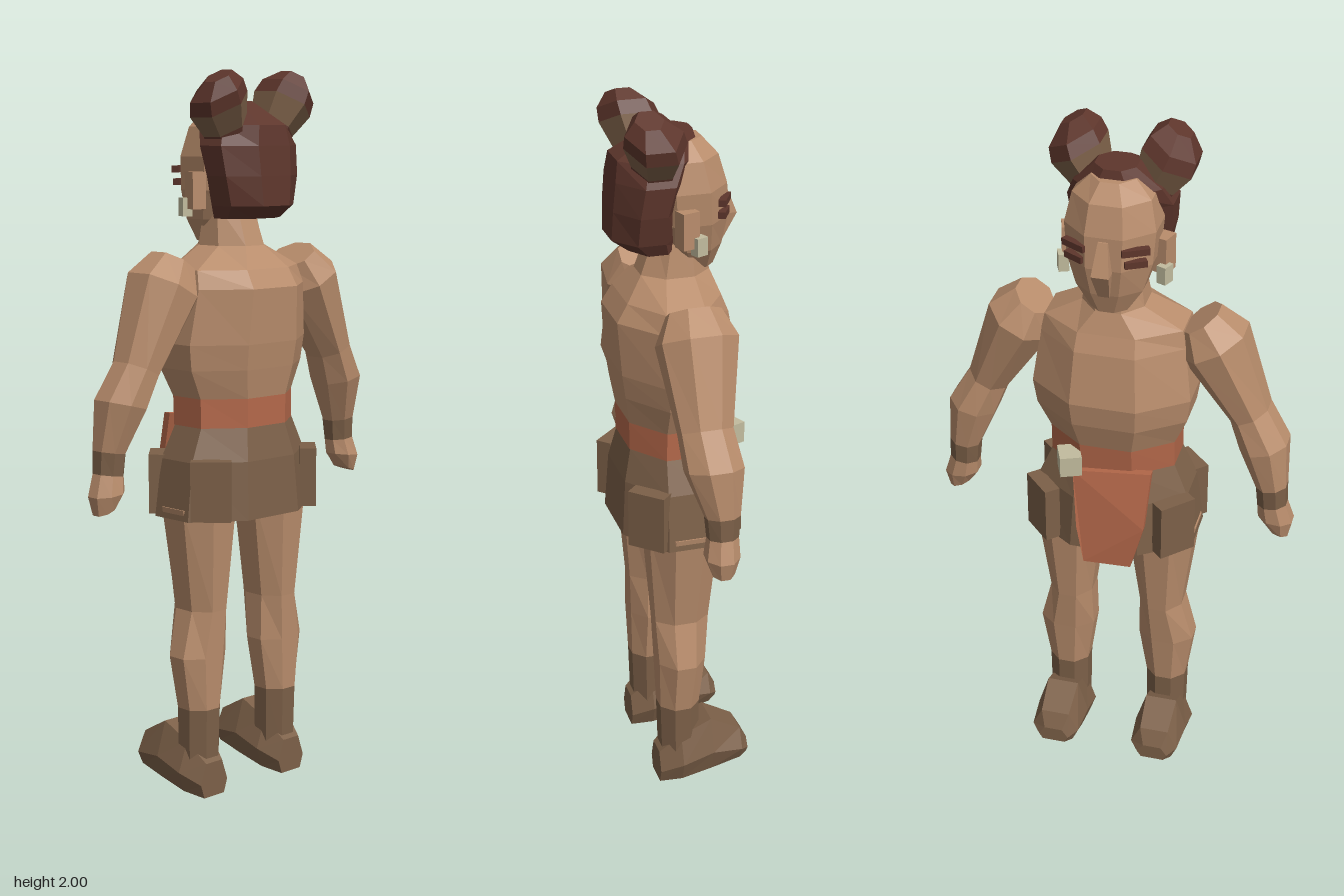
import * as THREE from 'three';

const mat = (name, color) => {
  const m = new THREE.MeshStandardMaterial({ color });
  m.name = name;
  return m;
};

// Ring of n points around (cx, cy, cz), flat sides facing the axes, tilted about z.
function ring(cx, cy, cz, rx, rz, tilt = 0, n = 8) {
  const k = 1 / Math.cos(Math.PI / n);
  return Array.from({ length: n }, (_, i) => {
    const a = ((i + 0.5) / n) * Math.PI * 2;
    const u = rx * k * Math.cos(a);
    return [cx + u * Math.cos(tilt), cy + u * Math.sin(tilt), cz + rz * k * Math.sin(a)];
  });
}

// Ring given by height, half width, front z and back z.
const level = ([y, w, z0, z1], x = 0) => ring(x, y, (z0 + z1) / 2, w, (z1 - z0) / 2);

// Faceted skin through the rings, closed at both ends.
function loft(rings) {
  const pos = [];
  const tri = (...p) => p.forEach((v) => pos.push(...v));
  const n = rings[0].length;
  const mid = (r) => [0, 1, 2].map((k) => r.reduce((s, p) => s + p[k], 0) / n);
  const first = rings[0], last = rings[rings.length - 1];
  const c0 = mid(first), c1 = mid(last);
  for (let j = 0; j < n; j++) {
    const k = (j + 1) % n;
    for (let i = 0; i + 1 < rings.length; i++) {
      const a = rings[i], b = rings[i + 1];
      tri(a[j], b[j], b[k]);
      tri(a[j], b[k], a[k]);
    }
    tri(c0, first[j], first[k]);
    tri(c1, last[k], last[j]);
  }
  const g = new THREE.BufferGeometry();
  g.setAttribute('position', new THREE.Float32BufferAttribute(pos, 3));
  g.computeVertexNormals();
  return g;
}

export function createModel() {
  const model = new THREE.Group();
  const skin = mat('skin', 0xb98d6c);
  const cloth = mat('brown cloth', 0x7c6048);
  const hair = mat('dark hair', 0x5e362c);
  const sash = mat('rust sash', 0xb4684a);
  const bone = mat('pale bone', 0xc2bc9e);

  const add = (name, geometry, material, parent = model) => {
    const m = new THREE.Mesh(geometry, material);
    m.name = name;
    parent.add(m);
    return m;
  };
  const box = (name, size, at, material, parent = model, ry = 0) => {
    const m = add(name, new THREE.BoxGeometry(...size), material, parent);
    m.position.set(...at);
    m.rotation.y = ry;
    return m;
  };
  const levels = (name, rows, material, x = 0, parent = model) =>
    add(name, loft(rows.map((r) => level(r, x))), material, parent);

  // Body
  levels('shorts', [[0.79, 0.235, -0.15, 0.17], [0.95, 0.215, -0.14, 0.16], [1.04, 0.175, -0.115, 0.14]], cloth);
  levels('belt', [[1.04, 0.175, -0.12, 0.142], [1.12, 0.175, -0.125, 0.142]], sash);
  levels('torso', [
    [1.12, 0.175, -0.125, 0.142], [1.2, 0.21, -0.15, 0.155], [1.27, 0.22, -0.16, 0.165],
    [1.42, 0.2, -0.135, 0.175], [1.47, 0.19, -0.115, 0.145], [1.53, 0.085, -0.095, 0.095],
    [1.64, 0.07, -0.07, 0.055],
  ], skin);

  // Hanging cloth and buckle on the -z side, where the figure faces
  const flap = new THREE.Shape([[0.09, 1.04], [-0.13, 1.06], [-0.12, 0.9], [-0.085, 0.77], [0.05, 0.765], [0.07, 0.88]]
    .map(([x, y]) => new THREE.Vector2(x, y)));
  const flapGeo = new THREE.ExtrudeGeometry(flap, { depth: 0.022, bevelEnabled: false });
  const fp = flapGeo.attributes.position;
  for (let i = 0; i < fp.count; i++) fp.setZ(i, fp.getZ(i) - 0.18 + Math.max(0, fp.getY(i) - 0.88) * 0.26);
  flapGeo.computeVertexNormals();
  add('hangingCloth', flapGeo, sash);
  box('buckle', [0.06, 0.06, 0.07], [0.1, 1.068, -0.132], bone, model, 0.4);

  // Head
  const head = new THREE.Group();
  head.name = 'head';
  model.add(head);
  levels('face', [
    [1.54, 0.05, -0.11, -0.02], [1.6, 0.09, -0.128, 0.03], [1.68, 0.115, -0.142, 0.08],
    [1.77, 0.122, -0.138, 0.09], [1.85, 0.105, -0.115, 0.09], [1.895, 0.06, -0.075, 0.06],
  ], skin, 0, head);
  add('nose', loft([
    ring(0, 1.6, -0.125, 0.015, 0.012, 0, 4), ring(0, 1.675, -0.147, 0.024, 0.028, 0, 4),
    ring(0, 1.76, -0.133, 0.013, 0.01, 0, 4),
  ]), skin, head);
  levels('hairCap', [
    [1.605, 0.1, 0.0, 0.13], [1.64, 0.118, -0.005, 0.178], [1.72, 0.135, -0.005, 0.175],
    [1.8, 0.142, -0.03, 0.168], [1.855, 0.118, -0.065, 0.16], [1.918, 0.055, -0.05, 0.06],
  ], hair, 0, head);

  for (const s of [1, -1]) {
    const side = s > 0 ? 'left' : 'right';
    const group = (name) => {
      const g = new THREE.Group();
      g.name = side + name;
      model.add(g);
      return g;
    };

    // Ear, earring, eye and brow
    const face = group('FaceDetails');
    box('ear', [0.04, 0.1, 0.05], [s * 0.128, 1.68, -0.005], skin, face, s * 0.3);
    box('earring', [0.028, 0.05, 0.035], [s * 0.137, 1.635, -0.035], bone, face, s * 0.4);
    box('brow', [0.075, 0.018, 0.02], [s * 0.08, 1.735, -0.122], hair, face, -s * 0.5);
    box('eye', [0.06, 0.018, 0.02], [s * 0.08, 1.7, -0.12], hair, face, -s * 0.5);

    // Hair bun with a brown tie
    const bun = group('Bun');
    const b = [[0.07, 1.8, 0.065, 0.05], [0.088, 1.85, 0.07, 0.056], [0.12, 1.91, 0.078, 0.074],
      [0.135, 1.945, 0.086, 0.068], [0.142, 1.983, 0.1, 0.034]]
      .map(([x, y, z, r]) => ring(s * x, y, z, r, r, -s * 0.5, 6));
    add('bunBase', loft(b.slice(0, 2)), hair, bun);
    add('bunTie', loft(b.slice(1, 3)), cloth, bun);
    add('bunTip', loft(b.slice(2)), hair, bun);

    // Arm from fingertips to shoulder: x, y, half width, z, half depth, tilt
    const arm = group('Arm');
    const a = [
      [0.467, 0.845, 0.03, 0, 0.03, -0.35], [0.458, 0.89, 0.048, 0, 0.045, -0.1],
      [0.447, 0.94, 0.04, -0.005, 0.04, 0.12], [0.443, 1.0, 0.042, -0.005, 0.045, 0.15],
      [0.415, 1.125, 0.066, 0.01, 0.075, 0.25], [0.37, 1.215, 0.056, 0.02, 0.07, 0.45],
      [0.268, 1.425, 0.092, 0.012, 0.104, 0.5], [0.23, 1.49, 0.056, 0.01, 0.07, 0.6],
    ].map(([x, y, w, z, d, t]) => ring(s * x, y, z, w, d, s * t));
    add('hand', loft(a.slice(0, 3)), skin, arm);
    add('wristBand', loft(a.slice(2, 4)), cloth, arm);
    add('armSkin', loft(a.slice(3)), skin, arm);

    // Leg with ankle cuff
    const leg = group('Leg');
    add('cuff', loft([level([0.08, 0.055, -0.03, 0.08], s * 0.15), level([0.25, 0.058, -0.03, 0.085], s * 0.15)]), cloth, leg);
    add('legSkin', loft([
      level([0.25, 0.058, -0.03, 0.085], s * 0.15), level([0.4, 0.08, -0.045, 0.09], s * 0.15),
      level([0.53, 0.062, -0.06, 0.095], s * 0.135), level([0.82, 0.1, -0.088, 0.117], s * 0.135),
    ]), skin, leg);

    // Boot sections from heel to toe: z, sole height, top height, half width
    const boot = [[0.092, 0.002, 0.1, 0.05], [0.03, 0.013, 0.155, 0.077], [-0.06, 0.032, 0.195, 0.077],
      [-0.15, 0.05, 0.145, 0.07], [-0.175, 0.055, 0.1, 0.045]]
      .map(([z, y0, y1, w]) => [[-0.75, 0], [0.75, 0], [1, 0.4], [0.6, 1], [-0.6, 1], [-1, 0.4]]
        .map(([u, v]) => [s * 0.153 + u * w, y0 + v * (y1 - y0), z]));
    add('boot', loft(boot), cloth, leg);

    // Pockets at the corners of the shorts
    const pockets = group('Pockets');
    for (const f of [1, -1])
      box(f > 0 ? 'backPocket' : 'frontPocket', [0.11, 0.165, 0.045],
        [s * 0.188, 0.877, 0.01 + f * 0.108], cloth, pockets, s * f * 0.8);
  }
  return model;
}
